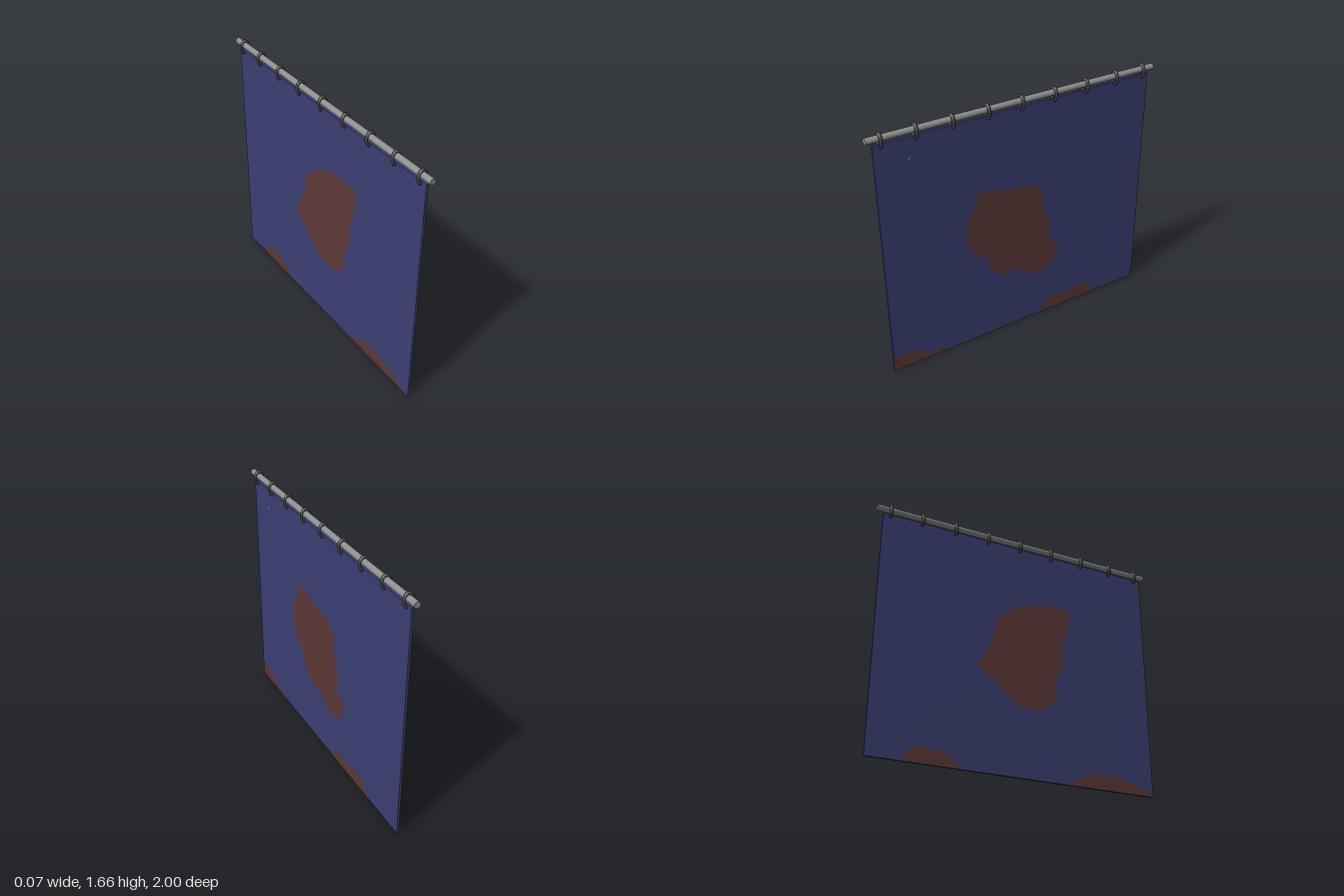
import * as THREE from 'three';

const HALF = 0.008;   // half thickness of the cloth
const EDGE = 0.962;   // half width of the cloth
const TOP = 1.59;

// Outlines as [z, y] pairs
const leftStains = {
  centre: [[.32, 1.09], [.22, 1.09], [.07, 1.04], [-.05, 1.05], [-.12, 1], [-.165, .96], [-.15, .845], [-.21, .75],
    [-.23, .63], [-.19, .59], [-.28, .53], [-.29, .465], [-.25, .385], [-.145, .33], [-.06, .365], [.03, .44],
    [.14, .41], [.21, .48], [.26, .545], [.25, .6], [.34, .65], [.4, .76], [.4, .91], [.34, .99]],
  frontHem: [[EDGE, 0], [EDGE, .1], [.83, .1], [.74, .055], [.68, .03], [.6, .04], [.59, 0]],
  backHem: [[-.14, 0], [-.19, .07], [-.26, .1], [-.37, .07], [-.44, .1], [-.53, .1], [-.58, .055], [-.64, 0]],
};
const rightStains = {
  centre: [[.376, 1.21], [.14, 1.2], [-.04, 1.13], [-.16, 1.02], [-.21, .82], [-.295, .68], [-.19, .6], [-.01, .455],
    [.14, .44], [.27, .54], [.26, .67], [.325, .81], [.315, .94], [.37, 1.08]],
  frontHem: [[.335, 0], [.42, .05], [.5, .09], [.65, .1], [.8, .07], [EDGE, .01], [EDGE, 0]],
  backHem: [[-.75, 0], [-.72, .05], [-.65, .1], [-.5, .09], [-.42, .05], [-.39, 0]],
};

// Subdivide an outline and fray it slightly, keeping it inside the cloth
function fray(points) {
  const out = [];
  points.forEach(([z, y], i) => {
    const [z2, y2] = points[(i + 1) % points.length];
    for (let k = 0; k < 4; k++) {
      const t = k / 4;
      const n = i * 4 + k;
      const pz = z + (z2 - z) * t + 0.007 * Math.sin(n * 2.4);
      const py = y + (y2 - y) * t + 0.007 * Math.sin(n * 3.7 + 1);
      const onHem = y === 0 && y2 === 0;
      out.push([THREE.MathUtils.clamp(pz, -EDGE, EDGE), onHem ? 0 : Math.max(0, py)]);
    }
  });
  return out;
}

// Flat patch lying on one face of the cloth: side +1 is left (+x), -1 is right
function patch(name, points, side, material) {
  const shape = new THREE.Shape(points.map(([z, y]) => new THREE.Vector2(-side * z, y)));
  const mesh = new THREE.Mesh(new THREE.ShapeGeometry(shape), material);
  mesh.rotation.y = side * Math.PI / 2;
  mesh.position.x = side * (HALF + 0.0015);
  mesh.name = name;
  return mesh;
}

export function createModel() {
  const group = new THREE.Group();
  group.name = 'hangingCurtain';
  const blue = new THREE.MeshStandardMaterial({ color: 0x3a3f72 });
  const rust = new THREE.MeshStandardMaterial({ color: 0x5c3836 });
  const pale = new THREE.MeshStandardMaterial({ color: 0x686a80 });
  const steel = new THREE.MeshStandardMaterial({ color: 0x8e8e8e });
  const iron = new THREE.MeshStandardMaterial({ color: 0x444444 });

  // Cloth panel
  const cloth = new THREE.Mesh(new THREE.BoxGeometry(HALF * 2, TOP, EDGE * 2), blue);
  cloth.position.y = TOP / 2;
  cloth.name = 'cloth';
  group.add(cloth);

  // Stains on both faces
  for (const [label, stains, side] of [['left', leftStains, 1], ['right', rightStains, -1]]) {
    for (const key of Object.keys(stains)) {
      group.add(patch(`${label}Stain_${key}`, fray(stains[key]), side, rust));
    }
  }
  // Small worn fleck
  group.add(patch('fleck', [[.77, 1.445], [.755, 1.465], [.735, 1.47], [.74, 1.455]], 1, pale));

  // Rod
  const rod = new THREE.Mesh(new THREE.CylinderGeometry(0.02, 0.02, 2, 24), steel);
  rod.rotation.x = Math.PI / 2;
  rod.position.y = 1.625;
  rod.name = 'rod';
  group.add(rod);

  // Oval rings linking rod and cloth
  const ringGeometry = new THREE.TorusGeometry(0.04, 0.011, 10, 28);
  ringGeometry.scale(0.68, 1, 1);
  for (const z of [-.915, -.7, -.47, -.235, 0, .235, .47, .7, .915]) {
    const ring = new THREE.Mesh(ringGeometry, iron);
    ring.position.set(0, 1.612, z);
    ring.name = 'ring';
    group.add(ring);
  }
  return group;
}
